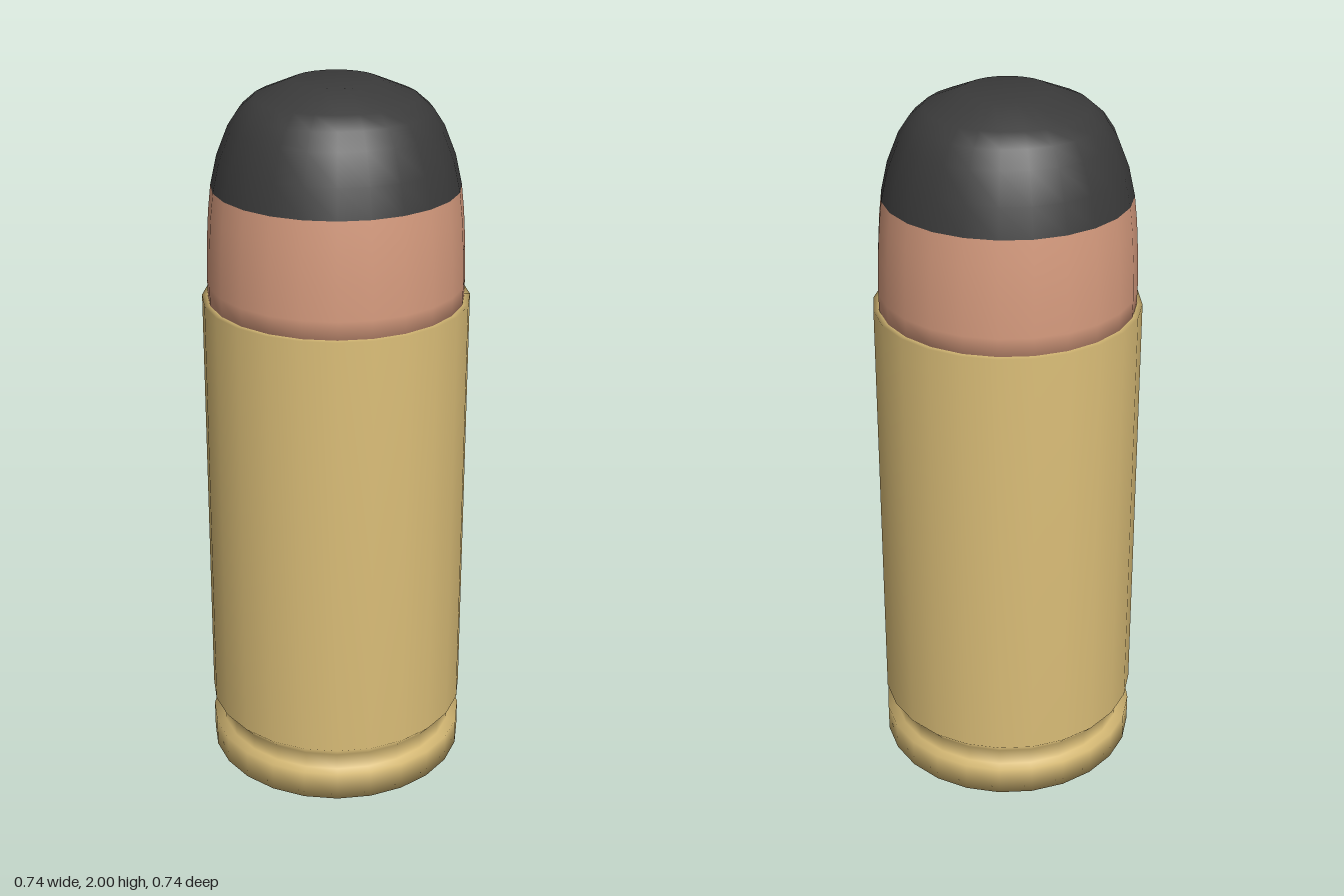
import * as THREE from 'three';

const SIDES = 24;

// Smooth turned part from [radius, height] pairs, listed bottom to top
function turned(name, profile, material) {
  const points = profile.map(([r, y]) => new THREE.Vector2(r, y));
  const mesh = new THREE.Mesh(new THREE.LatheGeometry(points, SIDES), material);
  mesh.name = name;
  return mesh;
}

export function createModel() {
  const brass = new THREE.MeshStandardMaterial({ name: 'brass', color: 0xdbbe78 });
  const copper = new THREE.MeshStandardMaterial({ name: 'copper', color: 0xd69b7e });
  const black = new THREE.MeshStandardMaterial({ name: 'black', color: 0x3a3a3a });

  const model = new THREE.Group();
  model.name = 'cartridge';

  // Case: base rim, extractor groove, bevel, tapered wall and mouth lip
  model.add(turned('case', [
    [0, 0], [0.372, 0], [0.372, 0.083], [0.343, 0.083], [0.343, 0.132],
    [0.372, 0.165], [0.367, 1.41], [0.345, 1.41],
  ], brass));

  // Jacket: lower part of the bullet, tucked into the case mouth
  model.add(turned('jacket', [
    [0.32, 1.4], [0.351, 1.405], [0.352, 1.46], [0.349, 1.56], [0.343, 1.65], [0.335, 1.72],
  ], copper));

  // Tip: rounded nose with a small flat
  model.add(turned('tip', [
    [0.335, 1.72], [0.317, 1.8], [0.285, 1.88], [0.255, 1.925],
    [0.218, 1.957], [0.115, 2], [0, 2],
  ], black));

  return model;
}
